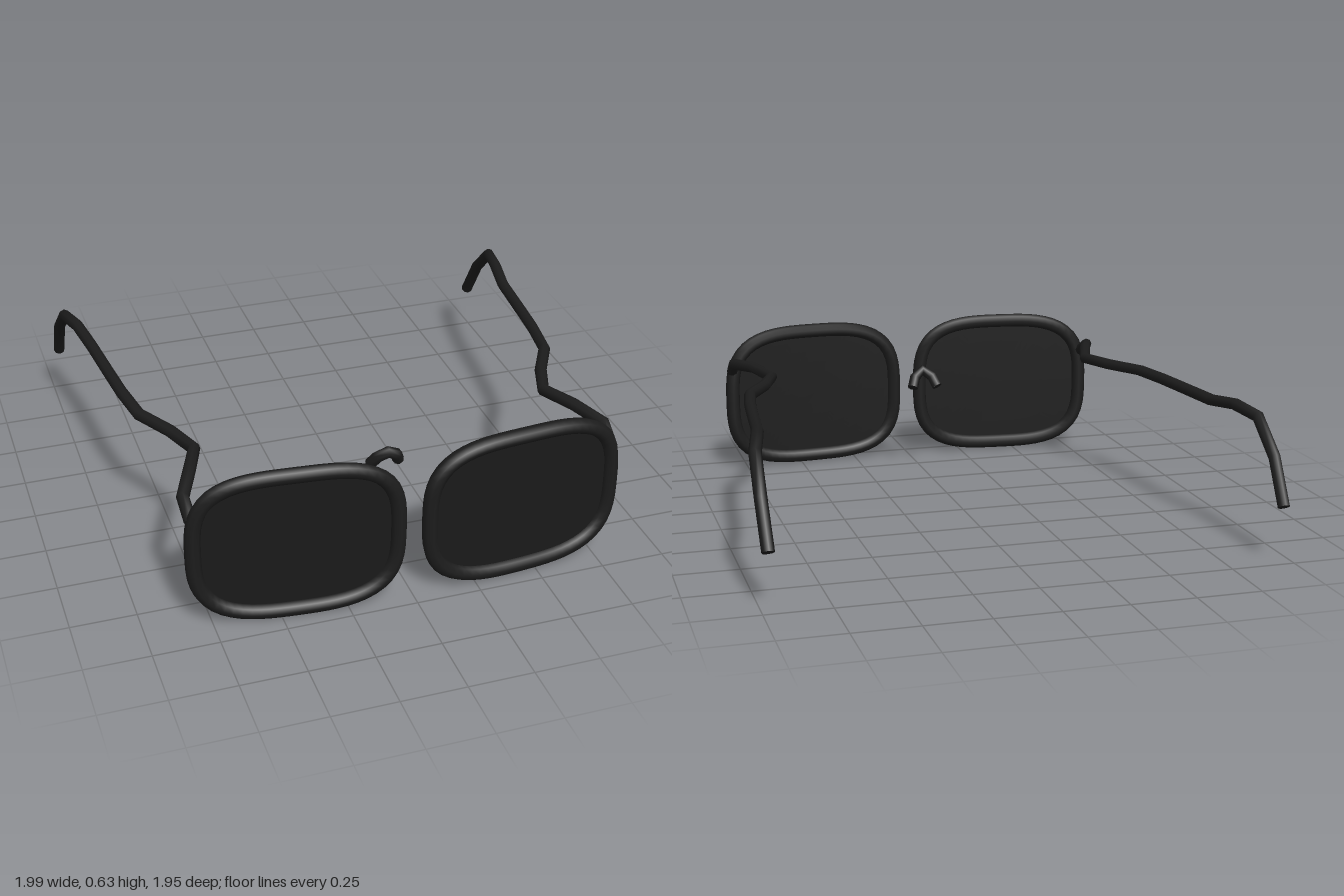
import * as THREE from 'three';

const V = (x, y, z) => new THREE.Vector3(x, y, z);

// Straight-segmented path with one tube ring per point
class Polyline extends THREE.Curve {
  constructor(points) { super(); this.points = points; }
  getUtoTmapping(u) { return u; }
  getPoint(t, target = new THREE.Vector3()) {
    const n = this.points.length - 1;
    const i = Math.min(Math.floor(t * n), n - 1);
    return target.copy(this.points[i]).lerp(this.points[i + 1], t * n - i);
  }
}

// Point on a rounded-rectangle lens outline, wrapped slightly around the face
function lensPoint(side, angle, scale) {
  const p = (v) => Math.sign(v) * Math.abs(v) ** (2 / 3.2);
  const x = side * 0.435 + 0.375 * scale * p(Math.cos(angle));
  const y = 0.317 + 0.286 * scale * p(Math.sin(angle));
  return V(x, y, 0.945 - 0.105 * x * x);
}

export function createModel() {
  const group = new THREE.Group();
  const frame = new THREE.MeshStandardMaterial({ color: 0x1c1c1c, side: THREE.DoubleSide });
  frame.name = 'frame black';
  const glass = new THREE.MeshStandardMaterial({ color: 0x1a1a1a, side: THREE.DoubleSide });
  glass.name = 'lens black';

  const add = (parent, geometry, material, name) => {
    const mesh = new THREE.Mesh(geometry, material);
    mesh.name = name;
    parent.add(mesh);
    return mesh;
  };

  // Rod along a list of points, with flat end caps
  const rod = (points, radius, name) => {
    const part = new THREE.Group();
    part.name = name;
    group.add(part);
    add(part, new THREE.TubeGeometry(new Polyline(points), points.length - 1, radius, 8), frame, name + 'Rod');
    const n = points.length;
    for (const [end, next] of [[points[0], points[1]], [points[n - 1], points[n - 2]]]) {
      const cap = add(part, new THREE.CircleGeometry(radius, 8), frame, name + 'Cap');
      cap.position.copy(end);
      cap.lookAt(end.clone().multiplyScalar(2).sub(next));
    }
  };

  for (const [side, label] of [[1, 'left'], [-1, 'right']]) {
    // Rim
    const outline = [];
    for (let i = 0; i < 48; i++) outline.push(lensPoint(side, (i / 48) * Math.PI * 2, 1));
    const path = new THREE.CatmullRomCurve3(outline, true);
    add(group, new THREE.TubeGeometry(path, 64, 0.03, 8, true), frame, label + 'Rim');

    // Lens: a disc reshaped to the rim outline
    const lens = new THREE.RingGeometry(0.001, 1, 48, 6);
    const pos = lens.attributes.position;
    for (let i = 0; i < pos.count; i++) {
      const x = pos.getX(i), y = pos.getY(i);
      const p = lensPoint(side, Math.atan2(y, x), Math.hypot(x, y));
      pos.setXYZ(i, p.x, p.y, p.z);
    }
    lens.computeVertexNormals();
    add(group, lens, glass, label + 'Lens');

    // Temple arm, from the hinge to the ear hook
    rod([
      [0.81, 0.45, 0.87], [0.815, 0.5, 0.785], [0.755, 0.513, 0.64], [0.7, 0.5, 0.485],
      [0.755, 0.5, 0.335], [0.84, 0.5, 0.18], [0.868, 0.5, 0], [0.882, 0.5, -0.14],
      [0.907, 0.5, -0.41], [0.935, 0.518, -0.57], [0.965, 0.5, -0.715],
      [0.972, 0.375, -0.855], [0.968, 0.21, -0.958],
    ].map(([x, y, z]) => V(side * x, y, z)), 0.024, label + 'Temple');
  }

  // Small arched nose bridge, set behind the lenses
  rod([
    [-0.055, 0.385, 0.61], [-0.038, 0.425, 0.637], [0, 0.452, 0.655],
    [0.038, 0.425, 0.637], [0.055, 0.385, 0.61],
  ].map((p) => V(...p)), 0.023, 'bridge');

  return group;
}
